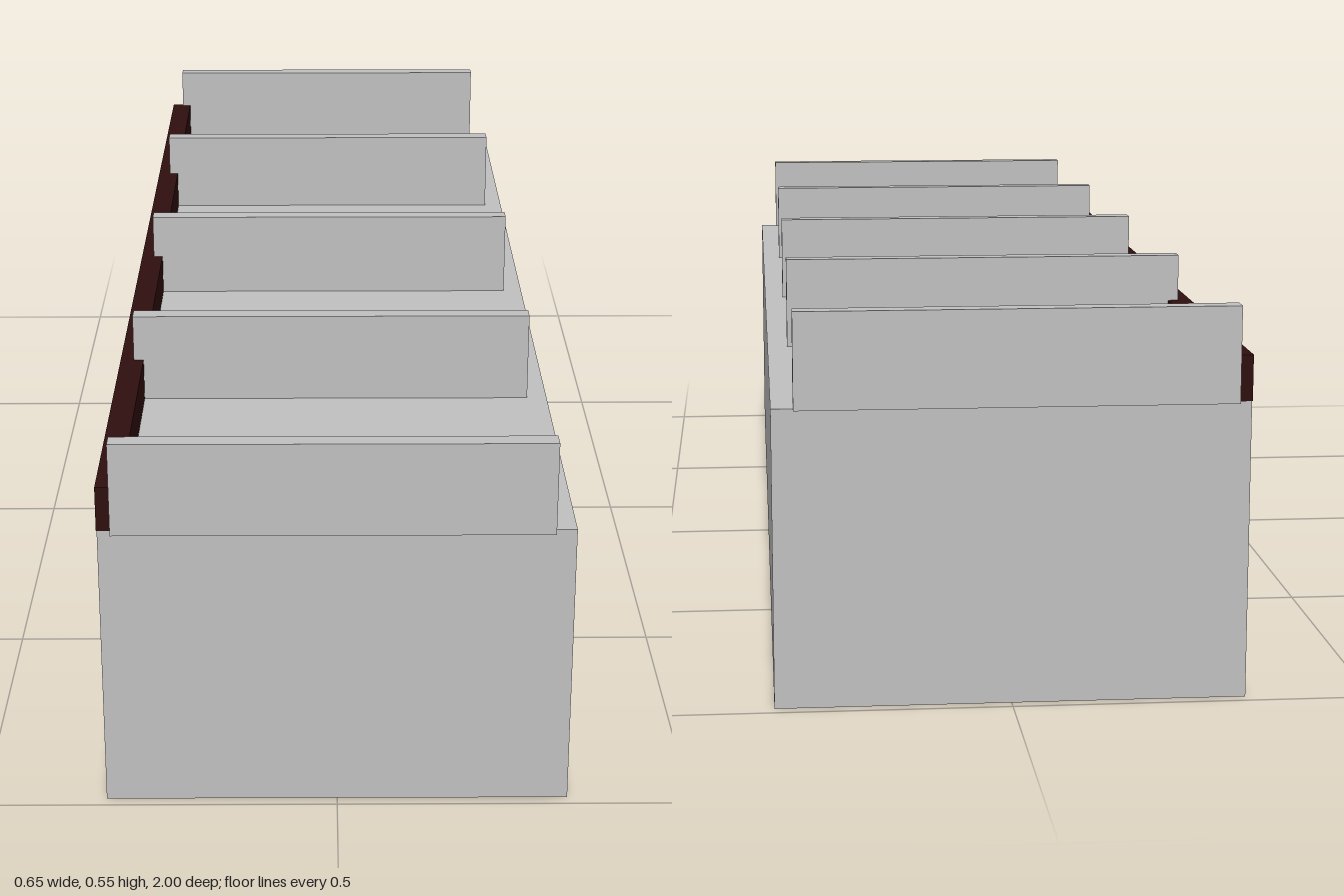
import * as THREE from 'three';

export function createModel() {
  const model = new THREE.Group();
  const grey = new THREE.MeshStandardMaterial({ color: 0xc0c0c0 });
  grey.name = 'lightGrey';
  const dark = new THREE.MeshStandardMaterial({ color: 0x2f0f0f });
  dark.name = 'darkBrown';

  // Box spanning [x0, x1] x [y0, y1] x [z0, z1]
  function addBox(name, material, [x0, x1], [y0, y1], [z0, z1]) {
    const mesh = new THREE.Mesh(new THREE.BoxGeometry(x1 - x0, y1 - y0, z1 - z0), material);
    mesh.position.set((x0 + x1) / 2, (y0 + y1) / 2, (z0 + z1) / 2);
    mesh.name = name;
    model.add(mesh);
  }

  const top = 0.418;
  const halfLength = 0.983;

  // Solid base block
  addBox('base', grey, [-0.326, 0.326], [0, top], [-halfLength, halfLength]);

  // Low backrest rail along the right edge
  addBox('sideRail', dark, [-0.327, -0.292], [top, 0.482], [-halfLength, halfLength]);

  // Five evenly spaced upright dividers
  const thickness = 0.027;
  const spacing = (2 - thickness) / 4;
  for (let i = -2; i <= 2; i++) {
    const z = i * spacing;
    addBox('divider' + (i + 3), grey, [-0.307, 0.296], [top, 0.552],
      [z - thickness / 2, z + thickness / 2]);
  }

  return model;
}
